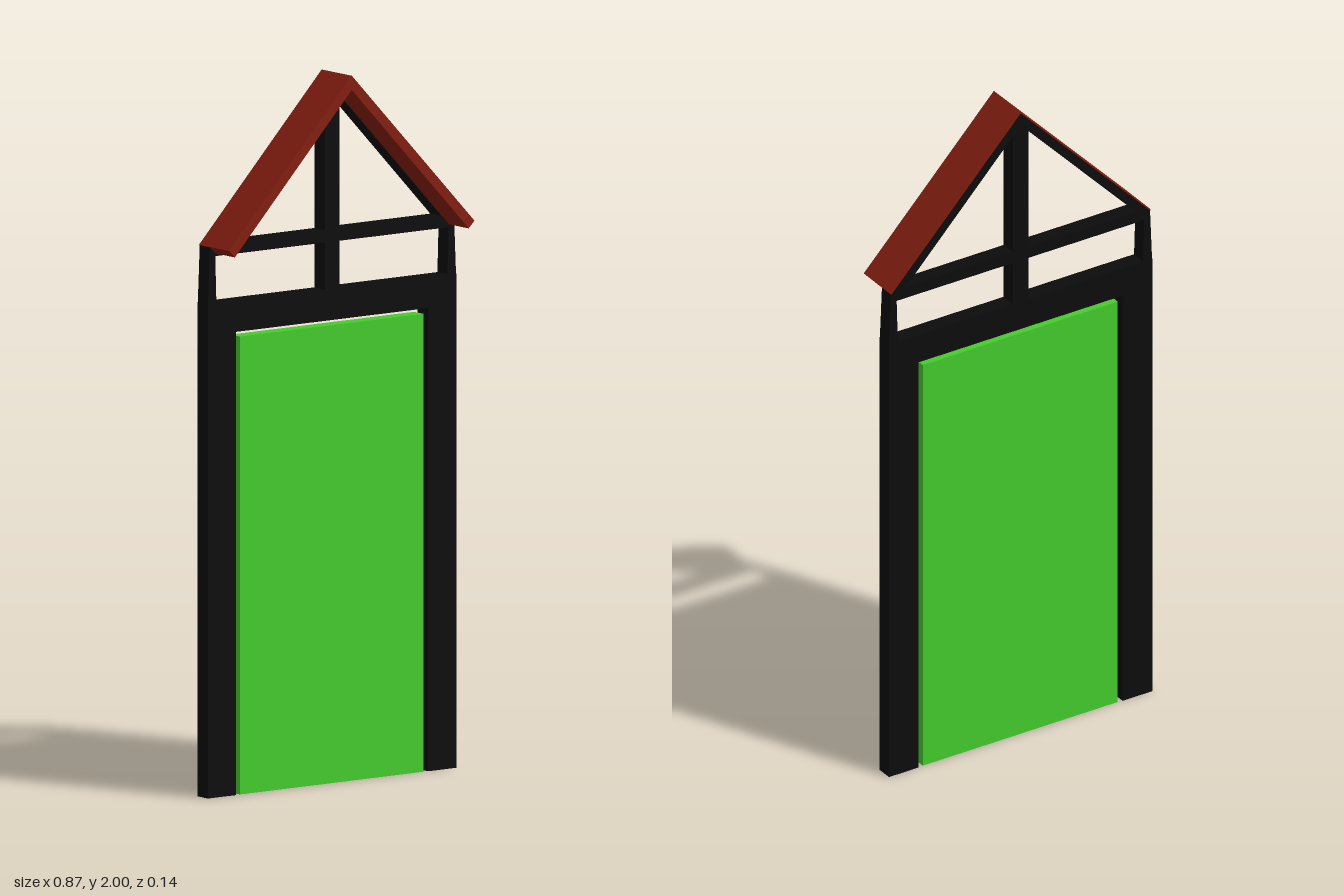
import * as THREE from 'three';

const BACK = -0.068, FRONT = -0.02;
const black = new THREE.MeshStandardMaterial({ color: 0x0c0c0c });
const green = new THREE.MeshStandardMaterial({ color: 0x44cc2c });
const red = new THREE.MeshStandardMaterial({ color: 0x851e10 });

// Flat outline in x/y, extruded from z0 to z1
function slab(name, points, z0, z1, material) {
  const shape = new THREE.Shape(points.map(([x, y]) => new THREE.Vector2(x, y)));
  const geometry = new THREE.ExtrudeGeometry(shape, { depth: z1 - z0, bevelEnabled: false });
  geometry.translate(0, 0, z0);
  const mesh = new THREE.Mesh(geometry, material);
  mesh.name = name;
  return mesh;
}

const rect = (x0, y0, x1, y1) => [[x0, y0], [x1, y0], [x1, y1], [x0, y1]];

export function createModel() {
  const model = new THREE.Group();
  model.name = 'gabledDoorway';

  // Door frame: two jambs joined by a header
  model.add(slab('doorFrame', [
    [-0.435, 0], [-0.337, 0], [-0.337, 1.302], [0.337, 1.302],
    [0.337, 0], [0.435, 0], [0.435, 1.39], [-0.435, 1.39],
  ], BACK, FRONT, black));

  // Door panel, with a narrow gap around it
  model.add(slab('doorPanel', rect(-0.322, 0, 0.322, 1.287), BACK + 0.002, FRONT - 0.002, green));

  // Gable timbers
  model.add(slab('tieBeam', rect(-0.415, 1.522, 0.415, 1.557), BACK + 0.0005, FRONT - 0.0005, black));
  model.add(slab('kingPost', [
    [-0.025, 1.38], [0.025, 1.38], [0.025, 1.95], [0, 1.976], [-0.025, 1.95],
  ], BACK - 0.0005, FRONT + 0.0005, black));

  // Each side: tapered post, rafter and roof slope
  for (const s of [-1, 1]) {
    const side = s > 0 ? 'left' : 'right';
    const mirror = (pts) => pts.map(([x, y]) => [s * x, y]);
    model.add(slab(side + 'Post', mirror([
      [0.405, 1.385], [0.435, 1.385], [0.428, 1.55], [0.41, 1.55],
    ]), BACK + 0.001, FRONT - 0.001, black));
    model.add(slab(side + 'Rafter', mirror([
      [0, 1.957], [0.41, 1.527], [0.428, 1.547], [0, 1.995],
    ]), BACK - 0.001, FRONT, black));
    model.add(slab(side + 'Roof', mirror([
      [0, 1.96], [0.41, 1.53], [0.43, 1.55], [0, 2],
    ]), BACK, 0.069, red));
  }
  return model;
}
